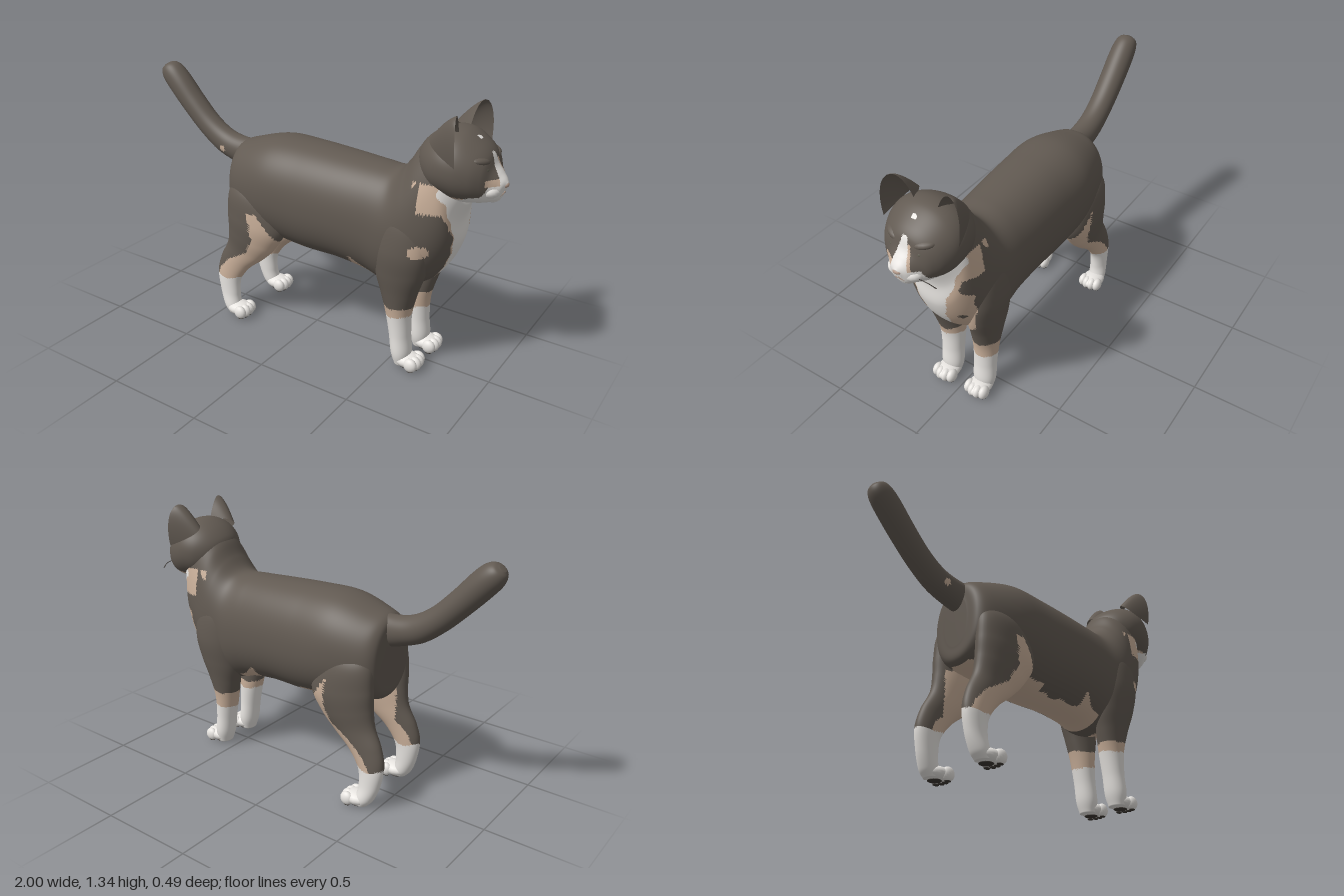
import * as THREE from 'three';

const mat = (name, color, side = THREE.FrontSide) => {
  const m = new THREE.MeshStandardMaterial({ color, side });
  m.name = name;
  return m;
};
const dark = mat('dark fur', 0x625a52, THREE.DoubleSide);
const white = mat('white fur', 0xebe8e4);
const tan = mat('tan fur', 0xcbb19b);
const nosePink = mat('nose skin', 0xb39a8a);
const black = mat('eye rims and pads', 0x3d3833);
const iris = mat('iris', 0x5d5a4e);
const coatMats = [dark, white, tan];
const DARK = 0, WHITE = 1, TAN = 2;

// Piecewise linear lookup through [input, output] pairs in rising order
function lerpTable(t, v) {
  if (v <= t[0][0]) return t[0][1];
  for (let i = 1; i < t.length; i++) {
    if (v <= t[i][0]) {
      const k = (v - t[i - 1][0]) / (t[i][0] - t[i - 1][0]);
      return t[i - 1][1] + k * (t[i][1] - t[i - 1][1]);
    }
  }
  return t[t.length - 1][1];
}

// Smooth skin through oval rings [ax, ay, bx, by, halfWidth, z]; a and b are opposite ends of the oval.
// Each face takes its colour from paint(x, y, z).
function loft(name, rings, paint, { side = 1, steps = 60, segs = 48, power = 1 } = {}) {
  const A = new THREE.CatmullRomCurve3(rings.map(r => new THREE.Vector3(r[0], r[1], (r[5] || 0) * side)), false, 'catmullrom');
  const B = new THREE.CatmullRomCurve3(rings.map(r => new THREE.Vector3(r[2], r[3], r[4])), false, 'catmullrom');
  const pos = [], tris = [];
  const shape = v => Math.sign(v) * Math.abs(v) ** power;
  for (let i = 0; i <= steps; i++) {
    const a = A.getPoint(i / steps), b = B.getPoint(i / steps);
    for (let j = 0; j < segs; j++) {
      const t = j / segs * Math.PI * 2, c = shape(Math.cos(t)) / 2, s = shape(Math.sin(t));
      pos.push((a.x + b.x) / 2 + (a.x - b.x) * c, (a.y + b.y) / 2 + (a.y - b.y) * c, a.z + b.z * s);
      if (i < steps) {
        const p = i * segs + j, q = i * segs + (j + 1) % segs;
        tris.push([p, q, p + segs], [q, q + segs, p + segs]);
      }
    }
  }
  // End caps
  for (const [i, flip] of [[0, true], [steps, false]]) {
    const a = A.getPoint(i / steps), b = B.getPoint(i / steps), mid = pos.length / 3;
    pos.push((a.x + b.x) / 2, (a.y + b.y) / 2, a.z);
    for (let j = 0; j < segs; j++) {
      const p = i * segs + j, q = i * segs + (j + 1) % segs;
      tris.push(flip ? [mid, q, p] : [mid, p, q]);
    }
  }
  // Turn all faces outward, then sort them by colour
  const pt = i => new THREE.Vector3(pos[i * 3], pos[i * 3 + 1], pos[i * 3 + 2]);
  let volume = 0;
  const buckets = [[], [], []];
  for (const t of tris) {
    const [a, b, c] = t.map(pt);
    volume += a.dot(b.clone().cross(c));
    const m = a.add(b).add(c).divideScalar(3);
    buckets[paint(m.x, m.y, m.z)].push(t);
  }
  const g = new THREE.BufferGeometry();
  g.setAttribute('position', new THREE.Float32BufferAttribute(pos, 3));
  let start = 0;
  buckets.forEach((list, k) => {
    if (list.length) g.addGroup(start, list.length * 3, k);
    start += list.length * 3;
  });
  g.setIndex(buckets.flat().flatMap(t => volume < 0 ? [t[0], t[2], t[1]] : t));
  g.computeVertexNormals();
  const mesh = new THREE.Mesh(g, coatMats);
  mesh.name = name;
  return mesh;
}

function blob(name, material, p, s, rot = [0, 0, 0]) {
  const m = new THREE.Mesh(new THREE.SphereGeometry(1, 18, 12), material);
  m.name = name;
  m.position.set(...p);
  m.scale.set(...s);
  m.rotation.set(...rot);
  return m;
}

// Coat pattern of trunk and legs
const thighEdge = [[0.22, -0.52], [0.28, -0.49], [0.35, -0.42], [0.42, -0.3], [0.52, -0.26], [0.66, -0.28]];
const bibWidth = [[0.47, 0], [0.52, 0.025], [0.7, 0.075], [0.76, 0.09], [0.85, 0.125], [0.97, 0.16]];
const rightTan = [[0.41, 0.03], [0.46, 0.1], [0.5, 0.14], [0.65, 0.17], [0.77, 0.172], [0.83, 0.14], [1, 0.175]];
function coat(x, y, z) {
  const az = Math.abs(z), wob = 0.005 * Math.sin(x * 45) + 0.004 * Math.sin(y * 60 + z * 40);
  if (x < 0) {
    if (y < 0.225 + wob) return WHITE;
    if (az < 0.14 && y < 0.54 && x > -0.42) return TAN;
    const edge = lerpTable(thighEdge, y) + (z < 0 ? 0.05 : 0);
    if (y < 0.66 && x > edge + wob && x < -0.24 + (0.68 - y) * 0.75) return TAN;
    return y < 0.488 + wob && x > -0.2 ? TAN : DARK;
  }
  if (x < 0.43) {
    const wedge = x > 0.29 ? 0.55 - (x - 0.29) * 0.6 : 0.487;
    return y < wedge + wob ? TAN : DARK;
  }
  const sock = z > 0 ? 0.295 : 0.25;
  if (y < sock + wob) return WHITE;
  if (y < 0.34 + wob) return TAN;
  if (Math.hypot((x - 0.675) * 0.8, (y - 0.685) * 1.3, (z - 0.19) * 0.8) < 0.042) return TAN;
  if (y < 0.52 && x > 0.5 && z < 0.035 && z > -0.03) return TAN;
  if (x > 0.55 && y < 1.02) {
    const bib = lerpTable(bibWidth, y) + wob;
    if (x > 0.6 && az < bib && (y < 0.85 || x > 0.7)) return WHITE;
    if (z < 0 && Math.hypot(y - 0.63, z + 0.12) < 0.016) return DARK;
    if (z < 0 && az < lerpTable(rightTan, y) + wob && x > 0.6) return TAN;
    if (z > 0 && az < bib + (y > 0.8 ? 0.018 : 0.006) && x > 0.62) return TAN;
    if (y > 0.88 && x > 0.655) return TAN;
  }
  return DARK;
}

// Face pattern
function face(x, y, z) {
  const az = Math.abs(z);
  if (x > 0.86 && y >= 1.035) {
    const blaze = y < 1.17 ? 0.012 + (1.17 - y) * 0.24 : 0;
    if (az < blaze) return WHITE;
    if (z > 0 && y < 1.065 && az < 0.1) return TAN;
    if (z < 0 && y < 1.14 && az < blaze + 0.012) return TAN;
    return DARK;
  }
  if (x > 0.84 && y > 0.985) return az < 0.1 - (y - 1) * 0.4 ? WHITE : DARK;
  if (x > 0.78 && y < 0.985 && az < 0.13) return WHITE;
  return x > 0.7 && y < 0.975 ? TAN : DARK;
}

// Cupped ear shell narrowing to a rounded tip
function ear(side) {
  const A = new THREE.Vector3(0.775, 1.24, 0.06), B = new THREE.Vector3(0.825, 1.13, 0.198);
  const tip = new THREE.Vector3(0.805, 1.335, 0.172), mid = A.clone().lerp(B, 0.5), half = B.clone().sub(A);
  const g = new THREE.PlaneGeometry(1, 1, 24, 24), p = g.attributes.position;
  for (let i = 0; i < p.count; i++) {
    const u = p.getX(i), v = p.getY(i) + 0.5;
    const q = mid.clone().lerp(tip, v).addScaledVector(half, u * Math.sqrt(1 - v) * (1 + 0.35 * v));
    const cup = (1 - 4 * u * u) * (1 - v) ** 0.75;
    p.setXYZ(i, q.x - 0.125 * cup, q.y + 0.03 * cup, (q.z + 0.01 * cup) * side);
  }
  g.computeVertexNormals();
  const m = new THREE.Mesh(g, dark);
  m.name = 'ear';
  return m;
}

function paw(name, x, z) {
  const g = new THREE.Group();
  g.name = name;
  g.add(blob('foot', white, [x, 0.041, z], [0.078, 0.037, 0.06]));
  for (const k of [-1.5, -0.5, 0.5, 1.5]) {
    const tx = x + 0.046 - Math.abs(k) * 0.009;
    g.add(blob('toe', white, [tx, 0.039, z + k * 0.029], [0.036, 0.036, 0.024]));
    g.add(blob('toePad', black, [tx, 0.006, z + k * 0.029], [0.018, 0.006, 0.012]));
  }
  g.add(blob('heelPad', black, [x - 0.01, 0.007, z], [0.035, 0.007, 0.035]));
  return g;
}

function tube(name, material, points, r) {
  const curve = new THREE.CatmullRomCurve3(points.map(p => new THREE.Vector3(...p)));
  const m = new THREE.Mesh(new THREE.TubeGeometry(curve, 16, r, 6), material);
  m.name = name;
  return m;
}

export function createModel() {
  const cat = new THREE.Group();
  cat.name = 'cat';
  // Trunk and neck
  cat.add(loft('body', [
    [-0.462, 0.88, -0.455, 0.62, 0.08], [-0.448, 0.95, -0.445, 0.55, 0.155], [-0.37, 0.985, -0.38, 0.52, 0.2],
    [-0.2, 1.03, -0.2, 0.495, 0.236], [0, 1.03, 0, 0.47, 0.232], [0.2, 1.02, 0.2, 0.468, 0.222],
    [0.37, 1.01, 0.36, 0.445, 0.212], [0.48, 1.01, 0.49, 0.41, 0.21], [0.545, 1.075, 0.65, 0.465, 0.21],
    [0.59, 1.15, 0.745, 0.57, 0.195], [0.64, 1.2, 0.8, 0.7, 0.175], [0.7, 1.22, 0.805, 0.82, 0.155],
    [0.76, 1.2, 0.83, 0.91, 0.12],
  ], coat, { steps: 140, segs: 120, power: 0.92 }));
  // Tail
  cat.add(loft('tail', [
    [-0.36, 0.965, -0.4, 0.79, 0.06], [-0.48, 0.968, -0.52, 0.825, 0.066], [-0.57, 0.992, -0.63, 0.868, 0.064],
    [-0.66, 1.05, -0.74, 0.95, 0.064], [-0.756, 1.145, -0.844, 1.05, 0.066], [-0.842, 1.242, -0.935, 1.145, 0.066],
    [-0.895, 1.29, -0.985, 1.205, 0.06], [-0.935, 1.304, -0.999, 1.245, 0.045], [-0.965, 1.295, -0.992, 1.272, 0.018],
  ], (x, y, z) => z > 0 && Math.hypot(x + 0.565, y - 0.9) < 0.018 ? TAN : DARK));
  // Head
  cat.add(loft('head', [
    [0.58, 1.12, 0.62, 1, 0.05], [0.605, 1.175, 0.64, 0.97, 0.12], [0.66, 1.225, 0.7, 0.945, 0.172],
    [0.73, 1.255, 0.76, 0.935, 0.192], [0.8, 1.25, 0.82, 0.925, 0.187], [0.87, 1.21, 0.87, 0.93, 0.16],
    [0.915, 1.168, 0.905, 0.935, 0.125], [0.938, 1.115, 0.935, 0.943, 0.088], [0.963, 1.083, 0.957, 0.95, 0.062],
    [0.983, 1.06, 0.97, 0.965, 0.043], [0.995, 1.042, 0.98, 0.99, 0.018],
  ], face, { steps: 110, segs: 96, power: 0.95 }));
  cat.add(blob('nose', nosePink, [0.983, 1.03, 0], [0.016, 0.013, 0.023]));
  cat.add(blob('chin', white, [0.933, 0.962, 0], [0.034, 0.022, 0.045]));

  for (const s of [1, -1]) {
    cat.add(ear(s));
    // Muzzle, mouth, eye and brow
    cat.add(blob('muzzle', white, [0.932, 1.004, s * 0.04], [0.044, 0.034, 0.05], [0, s * -0.4, 0]));
    cat.add(tube('mouth', nosePink, [[0.984, 1.0, 0], [0.975, 0.985, s * 0.018], [0.958, 0.978, s * 0.045], [0.93, 0.976, s * 0.065]], 0.004));
    cat.add(blob('eyeRim', black, [0.91, 1.108, s * 0.076], [0.014, 0.017, 0.034], [s * -0.2, s * -0.5, 0]));
    cat.add(blob('iris', iris, [0.917, 1.107, s * 0.079], [0.01, 0.01, 0.024], [s * -0.2, s * -0.5, 0]));
    cat.add(blob('brow', dark, [0.885, 1.14, s * 0.075], [0.036, 0.022, 0.055], [s * -0.2, s * -0.5, 0]));
    // Legs
    cat.add(loft('frontLeg', [
      [0.64, 0.88, 0.5, 0.88, 0.03, 0.12], [0.685, 0.8, 0.46, 0.82, 0.065, 0.14], [0.7, 0.66, 0.43, 0.66, 0.085, 0.14],
      [0.685, 0.54, 0.43, 0.52, 0.085, 0.125], [0.645, 0.42, 0.455, 0.41, 0.076, 0.112], [0.615, 0.3, 0.482, 0.3, 0.067, 0.102],
      [0.613, 0.18, 0.505, 0.18, 0.06, 0.1], [0.622, 0.08, 0.52, 0.08, 0.06, 0.1], [0.61, 0.015, 0.54, 0.015, 0.045, 0.1],
    ], coat, { side: s, steps: 90 }));
    cat.add(paw('frontPaw', 0.612, s * 0.1));
    cat.add(loft('hindLeg', [
      [-0.2, 0.84, -0.36, 0.86, 0.04, 0.1], [-0.14, 0.72, -0.435, 0.75, 0.075, 0.148], [-0.1, 0.57, -0.45, 0.62, 0.083, 0.157],
      [-0.16, 0.455, -0.452, 0.52, 0.075, 0.155], [-0.24, 0.37, -0.465, 0.43, 0.06, 0.155], [-0.33, 0.295, -0.51, 0.335, 0.05, 0.162],
      [-0.39, 0.21, -0.532, 0.24, 0.046, 0.168], [-0.4, 0.12, -0.515, 0.13, 0.044, 0.172], [-0.39, 0.06, -0.485, 0.05, 0.046, 0.178],
      [-0.38, 0.02, -0.455, 0.012, 0.04, 0.18],
    ], coat, { side: s, steps: 100 }));
    cat.add(paw('hindPaw', -0.39, s * 0.178));
  }
  // Single whisker on the right cheek
  cat.add(tube('whisker', black, [[0.95, 1.0, -0.07], [0.945, 0.995, -0.12], [0.935, 0.975, -0.16]], 0.002));
  return cat;
}
